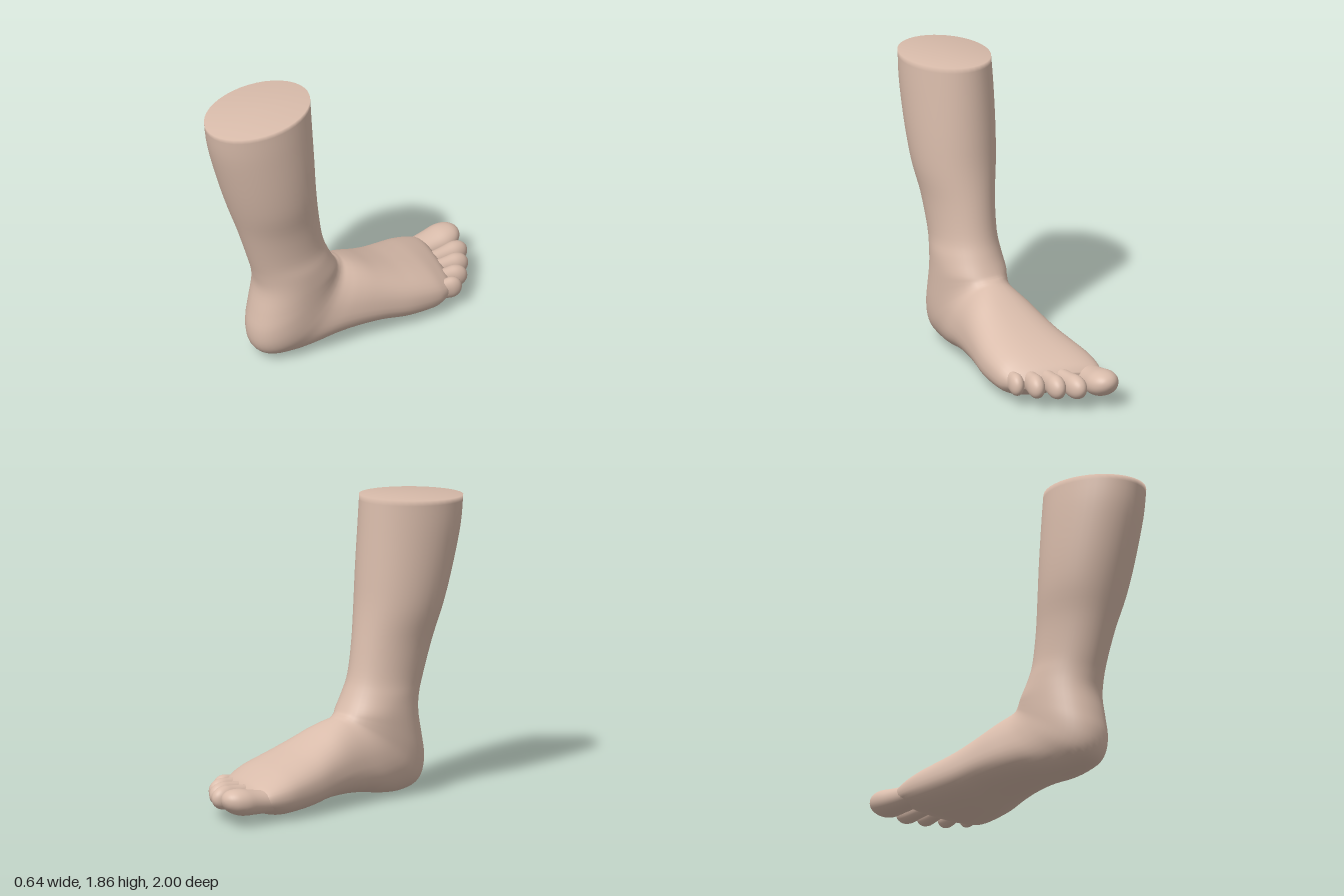
import * as THREE from 'three';

const SEG = 40;

// Catmull-Rom blend of four numbers
function blend(a, b, c, d, t) {
  return 0.5 * (2 * b + (c - a) * t + (2 * a - 5 * b + 4 * c - d) * t * t + (3 * b - a - 3 * c + d) * t * t * t);
}

// Insert smooth in-between rows
function refine(rows, steps) {
  const out = [];
  const at = (i) => rows[Math.min(Math.max(i, 0), rows.length - 1)];
  for (let i = 0; i < rows.length - 1; i++) {
    for (let s = 0; s < steps; s++) {
      out.push(at(i).map((_, k) => blend(at(i - 1)[k], at(i)[k], at(i + 1)[k], at(i + 2)[k], s / steps)));
    }
  }
  out.push(rows[rows.length - 1]);
  return out;
}

// Skin a closed surface over cross-sections. Each row holds:
// upper point z, y; lower point z, y; x limits; height of widest level (0-1);
// roundness power (1 = ellipse, less = squarer); slant of z with x
function loft(keys, steps) {
  const rows = refine(keys, steps);
  const pos = [], index = [];
  const power = (v, p) => Math.sign(v) * Math.pow(Math.abs(v), p);
  for (const [az, ay, bz, by, xl, xr, f, p, k] of rows) {
    const cz = bz + (az - bz) * f, cy = by + (ay - by) * f, cx = (xl + xr) / 2;
    for (let j = 0; j < SEG; j++) {
      const t = (j / SEG) * Math.PI * 2;
      const u = power(Math.cos(t), p);
      const x = cx + ((xr - xl) / 2) * power(Math.sin(t), p);
      const ez = u > 0 ? az - cz : cz - bz, ey = u > 0 ? ay - cy : cy - by;
      pos.push(x, cy + u * ey, cz + u * ez + k * x);
    }
  }
  const n = rows.length;
  for (const r of [rows[0], rows[n - 1]]) {
    const x = (r[4] + r[5]) / 2;
    pos.push(x, (r[1] + r[3]) / 2, (r[0] + r[2]) / 2 + r[8] * x);
  }
  const start = n * SEG, end = start + 1;
  for (let j = 0; j < SEG; j++) {
    const j2 = (j + 1) % SEG;
    index.push(start, j2, j);
    for (let i = 0; i < n - 1; i++) {
      const a = i * SEG + j, b = i * SEG + j2;
      index.push(a, b, a + SEG, b, b + SEG, a + SEG);
    }
    index.push(end, (n - 1) * SEG + j, (n - 1) * SEG + j2);
  }
  const g = new THREE.BufferGeometry();
  g.setAttribute('position', new THREE.Float32BufferAttribute(pos, 3));
  g.setIndex(index);
  g.computeVertexNormals();
  return g;
}

// Leg sections from the cut at the top down to the ankle
const LEG = [
  [0.29, 1.86, 1.0, 1.81, -0.255, 0.258],
  [0.28, 1.66, 0.972, 1.63, -0.265, 0.265],
  [0.265, 1.4, 0.9, 1.37, -0.263, 0.263],
  [0.25, 1.18, 0.83, 1.15, -0.247, 0.247],
  [0.22, 0.96, 0.76, 0.95, -0.21, 0.21],
  [0.185, 0.76, 0.69, 0.73, -0.195, 0.195],
  [0.145, 0.65, 0.655, 0.61, -0.203, 0.207],
].map((r) => [...r, 0.5, 1, 0]);

// Sections fanning round the heel
const HEEL = [
  [0.1, 0.56, 0.64, 0.5, -0.21, 0.21],
  [0.082, 0.537, 0.668, 0.35, -0.212, 0.21],
  [0.07, 0.53, 0.69, 0.22, -0.212, 0.21],
  [0.06, 0.526, 0.677, 0.11, -0.21, 0.21],
  [0.05, 0.521, 0.62, 0.04, -0.21, 0.21],
  [0.038, 0.515, 0.5, 0.01, -0.21, 0.212],
].map((r) => [...r, 0.48, 0.92, 0]);

// Sections along the foot to the toe roots
const FOOT = [
  [0.015, 0.506, 0.36, 0.015, -0.212, 0.222, 0.45, 0.88, 0],
  [-0.025, 0.49, 0.2, 0.04, -0.22, 0.24, 0.43, 0.86, 0],
  [-0.085, 0.463, 0.04, 0.05, -0.235, 0.262, 0.42, 0.85, 0],
  [-0.18, 0.417, -0.13, 0.044, -0.255, 0.288, 0.42, 0.85, 0],
  [-0.3, 0.368, -0.28, 0.018, -0.28, 0.312, 0.44, 0.85, 0],
  [-0.42, 0.33, -0.42, 0.006, -0.302, 0.32, 0.46, 0.85, 0.03],
  [-0.53, 0.295, -0.53, 0.005, -0.317, 0.318, 0.48, 0.85, 0.1],
  [-0.62, 0.255, -0.6, 0.025, -0.308, 0.308, 0.5, 0.85, 0.2],
  [-0.68, 0.22, -0.66, 0.055, -0.28, 0.285, 0.5, 0.85, 0.25],
  [-0.715, 0.18, -0.7, 0.09, -0.22, 0.24, 0.5, 0.9, 0.25],
];

// Toe: root x, z, y; tip x, z, y; half width; half height
const TOES = {
  bigToe: [-0.215, -0.56, 0.125, -0.195, -1.0, 0.165, 0.102, 0.083],
  secondToe: [-0.03, -0.62, 0.145, -0.03, -0.95, 0.145, 0.06, 0.074],
  thirdToe: [0.055, -0.58, 0.148, 0.078, -0.88, 0.14, 0.056, 0.073],
  fourthToe: [0.145, -0.52, 0.148, 0.18, -0.8, 0.138, 0.054, 0.073],
  littleToe: [0.235, -0.46, 0.145, 0.264, -0.7, 0.14, 0.046, 0.07],
};

// Position along a toe and its relative thickness
const TOE_SHAPE = [[0, 0.8], [0.35, 0.86], [0.55, 0.93], [0.72, 1], [0.86, 0.87], [0.95, 0.58], [0.99, 0.27], [1, 0.04]];

function toeGeometry([x0, z0, y0, x1, z1, y1, w, h]) {
  return loft(TOE_SHAPE.map(([s, r]) => {
    const x = x0 + (x1 - x0) * s, y = y0 + (y1 - y0) * s * s, z = z0 + (z1 - z0) * s;
    return [z, y + h * r, z, y - h * r, x - w * r, x + w * r, 0.5, 0.95, 0];
  }), 3);
}

export function createModel() {
  const group = new THREE.Group();
  group.name = 'humanFoot';
  const skin = new THREE.MeshStandardMaterial({ color: 0xd9bcab });
  skin.name = 'skin';

  const add = (name, geometry) => {
    const mesh = new THREE.Mesh(geometry, skin);
    mesh.name = name;
    group.add(mesh);
  };

  add('legAndFoot', loft([...LEG, ...HEEL, ...FOOT], 4));
  for (const [name, spec] of Object.entries(TOES)) add(name, toeGeometry(spec));
  return group;
}
